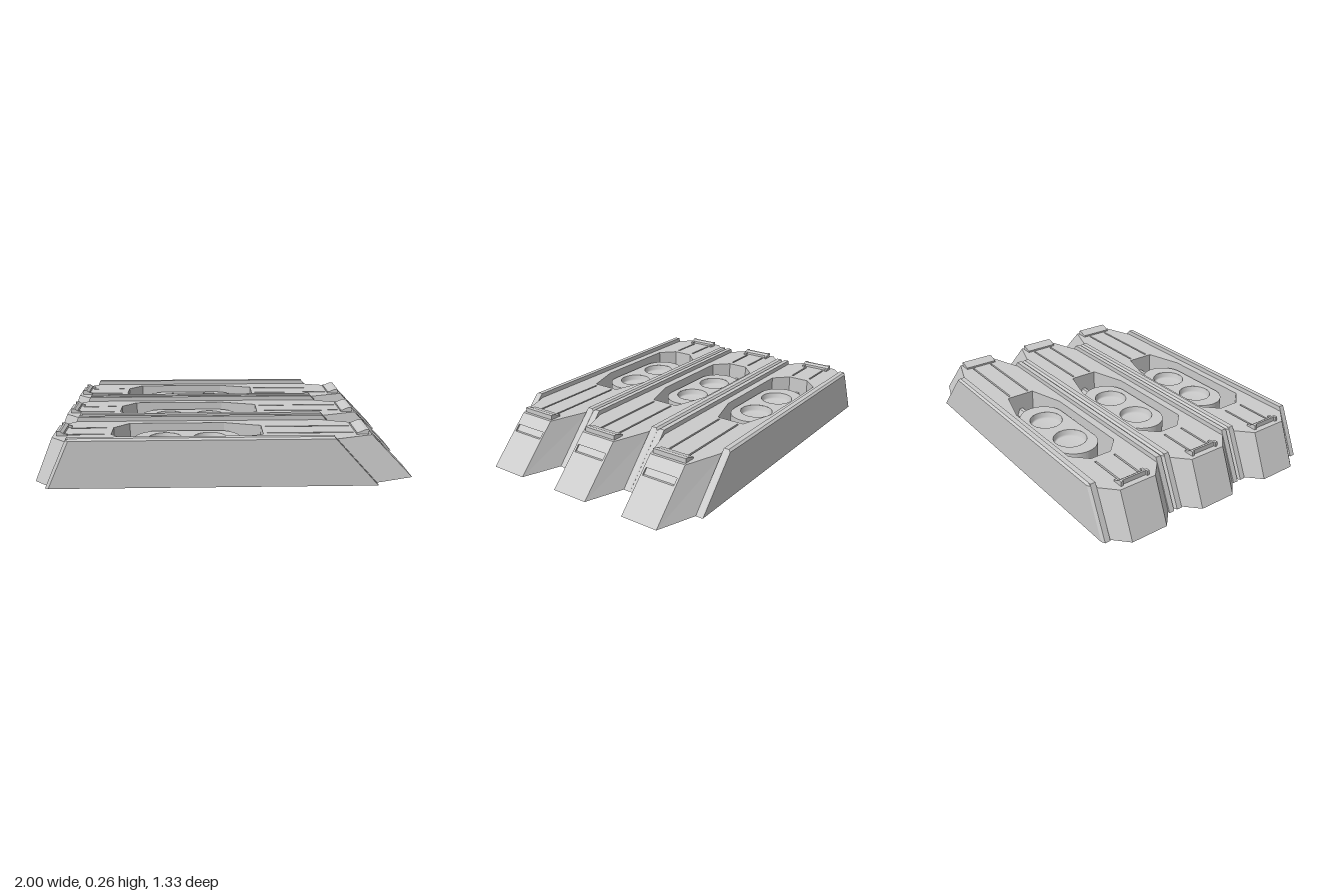
import * as THREE from 'three';

const mat = new THREE.MeshStandardMaterial({ color: 0xcccccc, flatShading: true, side: THREE.DoubleSide });
const smooth = new THREE.MeshStandardMaterial({ color: 0xcccccc, side: THREE.DoubleSide });
const V = (x, y) => new THREE.Vector2(x, y);
const rect = (x0, x1, y0, y1) => [V(x0, y0), V(x1, y0), V(x1, y1), V(x0, y1)];

function mesh(name, geometry, material = mat) {
  const m = new THREE.Mesh(geometry, material);
  m.name = name;
  return m;
}

// Quad strips joining consecutive loops; open leaves out the closing strip, caps closes both ends
function loft(loops, { caps = false, open = false } = {}) {
  const n = loops[0].length, pos = loops.flat(2), idx = [];
  for (let l = 0; l < loops.length - 1; l++)
    for (let i = 0; i < (open ? n - 1 : n); i++) {
      const a = l * n + i, b = l * n + (i + 1) % n;
      idx.push(a, b, b + n, a, b + n, a + n);
    }
  if (caps) {
    const e = (loops.length - 1) * n;
    for (let i = 1; i < n - 1; i++) idx.push(0, i + 1, i, e, e + i, e + i + 1);
  }
  const g = new THREE.BufferGeometry();
  g.setAttribute('position', new THREE.Float32BufferAttribute(pos, 3));
  g.setIndex(idx);
  g.computeVertexNormals();
  return g;
}

// Wall around an outline in the XY plane, from z0 to z1
const wall = (pts, z0, z1) => loft([z0, z1].map(z => pts.map(p => [p.x, p.y, z])));

// Flat face in the XY plane with holes
function face(outline, holes = []) {
  const s = new THREE.Shape(outline);
  for (const h of holes) s.holes.push(new THREE.Path(h));
  return new THREE.ShapeGeometry(s);
}

// Flat panel with recesses: { name, pts, depth, floorHoles }
function panel(name, outline, recesses) {
  const g = new THREE.Group();
  g.name = name;
  g.add(mesh(name + 'Surface', face(outline, recesses.map(r => r.pts))));
  for (const r of recesses)
    g.add(mesh(r.name + 'Wall', wall(r.pts, -r.depth, 0)),
      mesh(r.name + 'Floor', face(r.pts, r.floorHoles).translate(0, 0, -r.depth)));
  return g;
}

const DECK = 0.24, FLOOR = 0.05, CUP_TOP = 0.2;
// Half plans of the hull (x, z) at the ground and at the deck
const half = [[-1, 0.105], [-0.92, 0.182], [0.79, 0.182], [1, 0.105]];
const halfTop = [[-0.9, 0.105], [-0.82, 0.182], [0.55, 0.182], [0.77, 0.105]];
const closed = h => [...h, ...[...h].reverse().map(([x, z]) => [x, -z])];

// Round-ended outline of the block that carries the cups
const capsule = new THREE.Path()
  .absarc(-0.04, 0, 0.125, -Math.PI / 2, Math.PI / 2)
  .absarc(-0.36, 0, 0.125, Math.PI / 2, Math.PI * 1.5)
  .getPoints(16).slice(0, -1);

function hull() {
  const g = new THREE.Group();
  g.name = 'hull';

  // Sloping sides, open underneath; the long end slope is a separate panel
  const low = closed(half), high = closed(halfTop);
  const sides = loft([low.map(([x, z]) => [x, 0, z]), high.map(([x, z]) => [x, DECK, z])]);
  const index = Array.from(sides.index.array);
  index.splice(3 * 6, 6);
  sides.setIndex(index);
  g.add(mesh('hullSides', sides));

  // Deck with pocket and pairs of slots
  const pocket = [V(-0.6, -0.06), V(-0.52, -0.14), V(0, -0.14), V(0.2, -0.08),
    V(0.2, 0.08), V(0, 0.14), V(-0.52, 0.14), V(-0.6, 0.06)];
  const recesses = [{ name: 'pocket', pts: pocket, depth: DECK - FLOOR, floorHoles: [capsule] }];
  for (const s of [-1, 1]) {
    recesses.push({ name: 'rearSlot', pts: rect(-0.83, -0.635, s * 0.058 - 0.005, s * 0.058 + 0.005), depth: 0.015 });
    recesses.push({ name: 'foreSlot', pts: rect(0.22, 0.68, s * 0.06 - 0.005, s * 0.06 + 0.005), depth: 0.015 });
  }
  const deck = panel('deck', high.map(([x, z]) => V(x, z)), recesses);
  deck.rotation.x = -Math.PI / 2;
  deck.position.y = DECK;
  g.add(deck);

  // Long end slope with a slot cut level into it
  const slope = panel('endSlope', rect(-0.105, 0.105, 0, Math.hypot(0.23, DECK)),
    [{ name: 'endSlot', pts: rect(-0.093, 0.093, 0.22, 0.262), depth: 0.012 }]);
  const tilt = new THREE.Matrix4().makeBasis(new THREE.Vector3(0, 0, -1),
    new THREE.Vector3(-0.23, DECK, 0).normalize(), new THREE.Vector3(1, 0, 0)).setPosition(1, 0, 0);
  for (const part of slope.children) part.geometry.applyMatrix4(tilt);
  g.add(slope);
  return g;
}

// Rounded block with two shallow cups, hollowed slightly underneath
function cupBlock() {
  const g = new THREE.Group();
  g.name = 'cupBlock';
  const centres = [-0.32, -0.08];
  const rims = centres.map(x => new THREE.Path().absarc(x, 0, 0.09, 0, Math.PI * 2).getPoints(32).slice(0, -1));
  g.add(mesh('cupBlockTop', face(capsule, rims)),
    mesh('cupBlockWall', wall(capsule, FLOOR - CUP_TOP, 0)),
    mesh('cupBlockUnderside', face(capsule).translate(0, 0, FLOOR + 0.03 - CUP_TOP)));
  const profile = [V(0, -0.035), V(0.079, -0.035), V(0.084, -0.025), V(0.09, 0)];
  for (const x of centres) {
    const cup = mesh('cup', new THREE.LatheGeometry(profile, 32), smooth);
    cup.rotation.x = Math.PI / 2;
    cup.position.x = x;
    g.add(cup);
  }
  g.rotation.x = -Math.PI / 2;
  g.position.y = CUP_TOP;
  return g;
}

// Bevelled side rail with raked ends, open underneath
function rail() {
  const station = (end, inset, trim) => [[0.222, 0], [0.222, 0.255], [0.21, 0.265], [0.182, 0.265], [0.182, 0]]
    .map(([z, y]) => [
      end < 0 ? -0.93 + 0.453 * y + inset : 0.793 - 0.906 * y - inset, y, Math.min(z, 0.222 - trim)]);
  return mesh('sideRail', loft([station(-1, 0, 0.01), station(-1, 0.018, 0),
    station(1, 0.003, 0), station(1, 0, 0.008)], { caps: true, open: true }));
}

// Extrudes an (x, y) profile across z, centred
function across(name, pts, width) {
  const geo = new THREE.ExtrudeGeometry(new THREE.Shape(pts), { depth: width, bevelEnabled: false });
  return mesh(name, geo.translate(0, 0, -width / 2));
}

function unit() {
  const g = new THREE.Group();
  g.name = 'hullUnit';
  g.add(hull(), cupBlock());

  // Rails on both sides
  const mirrored = rail();
  mirrored.scale.z = -1;
  g.add(rail(), mirrored);

  // Ridges joining the block to the pocket ends
  for (const [x0, x1] of [[-0.6, -0.48], [0.08, 0.2]]) {
    const ridge = across('pocketRidge', [V(-0.025, 0.11), V(0.025, 0.11), V(0.01, 0.15), V(-0.01, 0.15)], x1 - x0);
    ridge.rotation.y = Math.PI / 2;
    ridge.position.x = (x0 + x1) / 2;
    g.add(ridge);
  }

  // Deck clamps at both ends
  g.add(across('rearClamp', [V(-0.87, 0.24), V(-0.845, 0.24), V(-0.845, 0.254), V(-0.86, 0.265), V(-0.87, 0.265)], 0.17));
  for (const s of [-1, 1]) {
    const lug = across('rearClampLug', [V(-0.88, 0.24), V(-0.825, 0.24), V(-0.825, 0.25), V(-0.845, 0.252), V(-0.86, 0.265), V(-0.88, 0.265)], 0.014);
    lug.position.z = s * 0.078;
    g.add(lug);
  }
  g.add(across('foreClamp', [V(0.69, 0.24), V(0.755, 0.24), V(0.755, 0.265), V(0.735, 0.265), V(0.7, 0.25), V(0.69, 0.25)], 0.195));
  return g;
}

export function createModel() {
  const model = new THREE.Group();
  model.name = 'tripleHull';
  for (const i of [-1, 0, 1]) {
    const u = unit();
    u.position.z = i * 0.4445;
    model.add(u);
  }
  return model;
}
